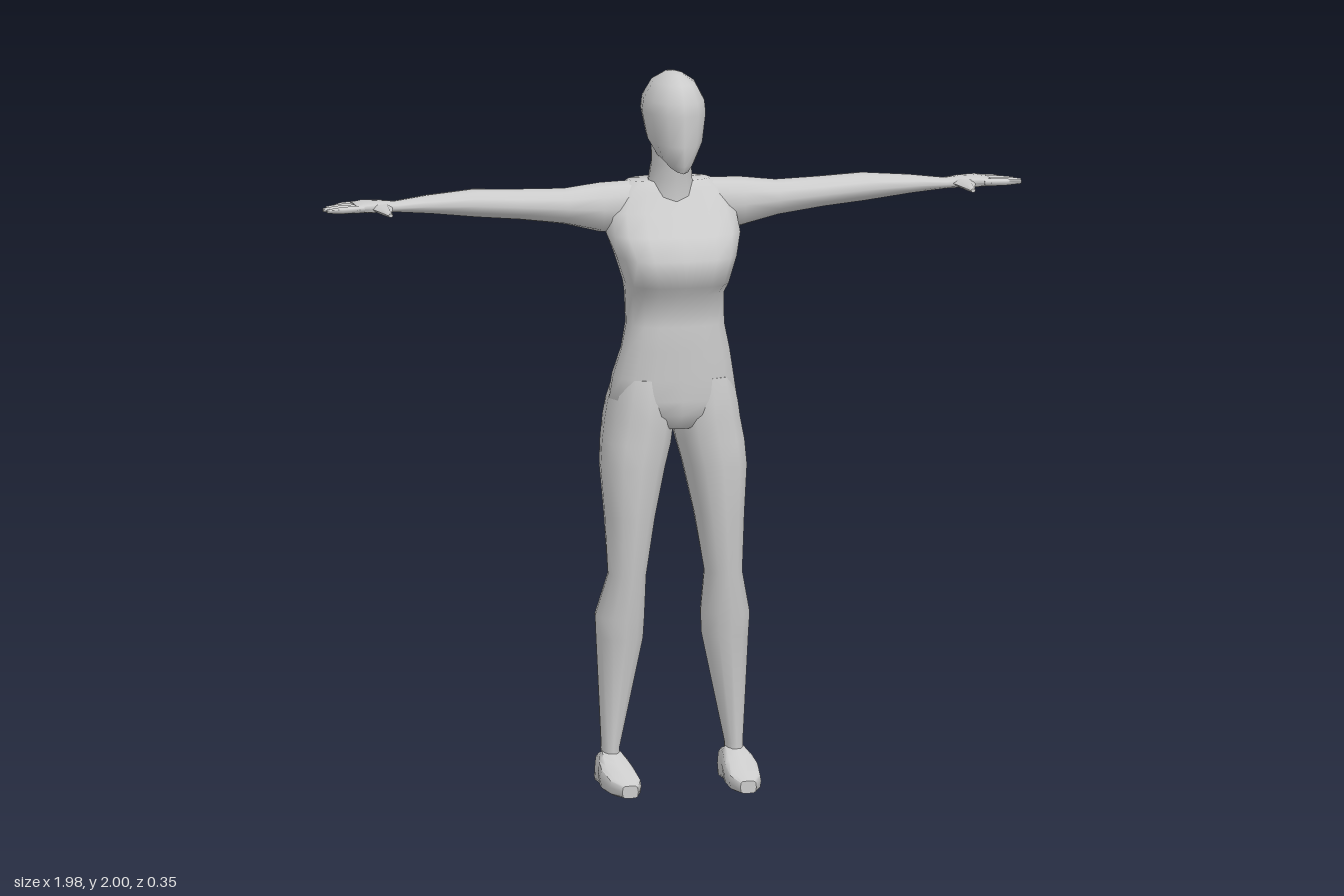
import * as THREE from 'three';
import { toCreasedNormals } from 'three/addons/utils/BufferGeometryUtils.js';

const material = new THREE.MeshStandardMaterial({ color: 0xcccccc });

// Skins rings stacked along an axis. Ring: [t, a0, a1, b0, b1, power = 2, tilt = 0];
// (a, b) are the next two axes in cyclic order, tilt shifts t from the a0 to the a1 side.
function loft(name, axis, rings, { sides = 12, mirror = false, crease = 1.1 } = {}) {
  const pos = [], index = [];
  const put = (t, a, b) => {
    const p = [0, 0, 0];
    p[axis] = t;
    p[(axis + 1) % 3] = a;
    p[(axis + 2) % 3] = b;
    pos.push(mirror ? -p[0] : p[0], p[1], p[2]);
  };
  const tri = (a, b, c) => (mirror ? index.push(a, c, b) : index.push(a, b, c));
  for (const [t, a0, a1, b0, b1, power = 2, tilt = 0] of rings) {
    for (let j = 0; j < sides; j++) {
      const ang = (j / sides) * Math.PI * 2;
      const c = Math.cos(ang), s = Math.sin(ang);
      const u = Math.sign(c) * Math.abs(c) ** (2 / power);
      const v = Math.sign(s) * Math.abs(s) ** (2 / power);
      put(t + tilt * u, (a0 + a1) / 2 + (u * (a1 - a0)) / 2, (b0 + b1) / 2 + (v * (b1 - b0)) / 2);
    }
  }
  const last = (rings.length - 1) * sides;
  for (let i = 0; i < last; i += sides) {
    for (let j = 0; j < sides; j++) {
      const k = (j + 1) % sides;
      tri(i + j, i + k, i + sides + k);
      tri(i + j, i + sides + k, i + sides + j);
    }
  }
  // End caps
  const first = rings[0], end = rings[rings.length - 1];
  for (const r of [first, end]) put(r[0], (r[1] + r[2]) / 2, (r[3] + r[4]) / 2);
  const c0 = last + sides;
  for (let j = 0; j < sides; j++) {
    const k = (j + 1) % sides;
    tri(c0, k, j);
    tri(c0 + 1, last + j, last + k);
  }
  const geo = new THREE.BufferGeometry();
  geo.setAttribute('position', new THREE.Float32BufferAttribute(pos, 3));
  geo.setIndex(index);
  const mesh = new THREE.Mesh(toCreasedNormals(geo, crease), material);
  mesh.name = name;
  return mesh;
}

// Symmetric upright ring: height, half width, back z, front z
const body = (y, w, back, front, power, tilt) => [y, back, front, -w, w, power, tilt];
// Upright limb ring: height, inner x, outer x, back z, front z
const limb = (y, x0, x1, back, front, power) => [y, back, front, x0, x1, power];

function arm(mirror) {
  const g = new THREE.Group();
  g.name = mirror ? 'rightArm' : 'leftArm';
  g.add(loft('armAndPalm', 0, [
    [0.08, 1.54, 1.69, -0.125, 0.0],
    [0.2, 1.55, 1.688, -0.118, 0.012],
    [0.3, 1.575, 1.675, -0.12, 0.005],
    [0.43, 1.592, 1.677, -0.13, 0.0],
    [0.55, 1.603, 1.682, -0.13, -0.004],
    [0.68, 1.62, 1.672, -0.108, -0.012],
    [0.78, 1.63, 1.66, -0.085, -0.02],
    [0.82, 1.633, 1.664, -0.09, -0.008, 2.5],
    [0.87, 1.635, 1.665, -0.096, 0.004, 3],
    [0.9, 1.638, 1.66, -0.094, 0.006, 3],
  ], { mirror }));
  // Four fingers, smallest at the back
  [0.945, 0.975, 0.99, 0.985].forEach((tip, i) => {
    const z = -0.082 + i * 0.026;
    g.add(loft('finger', 0, [
      [0.88, 1.639, 1.66, z - 0.011, z + 0.011],
      [(0.9 + tip) / 2, 1.639, 1.658, z - 0.01, z + 0.01],
      [tip, 1.642, 1.653, z - 0.006, z + 0.006],
    ], { sides: 6, mirror }));
  });
  g.add(loft('thumb', 2, [
    [-0.05, 0.785, 0.87, 1.637, 1.662],
    [0.0, 0.8, 0.855, 1.636, 1.66],
    [0.045, 0.812, 0.842, 1.637, 1.656],
    [0.09, 0.82, 0.833, 1.64, 1.651],
  ], { sides: 6, mirror }));
  return g;
}

function leg(mirror) {
  const g = new THREE.Group();
  g.name = mirror ? 'rightLeg' : 'leftLeg';
  g.add(loft('thighAndCalf', 1, [
    limb(0.05, 0.148, 0.202, -0.075, 0.015),
    limb(0.11, 0.15, 0.2, -0.07, 0.01),
    limb(0.42, 0.083, 0.216, -0.106, 0.052),
    limb(0.48, 0.08, 0.219, -0.11, 0.06),
    limb(0.6, 0.083, 0.19, -0.062, 0.076),
    limb(0.76, 0.058, 0.196, -0.1, 0.09, 2.2),
    limb(0.9, 0.028, 0.205, -0.134, 0.1, 2.3),
    limb(0.97, 0.01, 0.199, -0.15, 0.1, 2.4),
    limb(1.03, 0.0, 0.189, -0.172, 0.1, 2.3),
    limb(1.08, 0.0, 0.182, -0.163, 0.1, 2.2),
    limb(1.15, 0.01, 0.165, -0.13, 0.09),
  ], { mirror }));
  // Foot with a flat sole
  g.add(loft('foot', 2, [
    [-0.105, 0.148, 0.202, 0.0, 0.035, 4],
    [-0.075, 0.14, 0.208, 0.0, 0.09, 3.5],
    [-0.02, 0.138, 0.212, 0.0, 0.105, 3.5],
    [0.015, 0.132, 0.22, 0.0, 0.095, 3.5],
    [0.06, 0.126, 0.225, 0.0, 0.075, 3.5],
    [0.13, 0.125, 0.215, 0.0, 0.05, 4],
    [0.175, 0.145, 0.19, 0.0, 0.035, 4],
  ], { mirror, crease: 0.8 }));
  return g;
}

export function createModel() {
  const model = new THREE.Group();
  model.name = 'figure';

  // Hips, waist, bust and shoulders
  model.add(loft('torso', 1, [
    body(1.01, 0.06, -0.09, 0.075),
    body(1.05, 0.15, -0.12, 0.095, 2.4),
    body(1.09, 0.18, -0.14, 0.1, 2.5),
    body(1.15, 0.17, -0.138, 0.1, 2.5),
    body(1.23, 0.153, -0.086, 0.104, 2.5),
    body(1.3, 0.138, -0.096, 0.104, 2.5),
    body(1.385, 0.138, -0.112, 0.1, 2.6),
    body(1.415, 0.142, -0.116, 0.14, 3),
    body(1.49, 0.166, -0.13, 0.146, 3),
    body(1.55, 0.188, -0.142, 0.1, 2.8),
    body(1.61, 0.185, -0.15, 0.05, 2.6),
    body(1.665, 0.155, -0.146, 0.012, 2.5),
    body(1.69, 0.115, -0.125, -0.005, 2.3),
  ], { sides: 16, crease: 1.2 }));

  model.add(loft('neck', 1, [
    body(1.64, 0.075, -0.14, 0.03),
    body(1.7, 0.06, -0.125, 0.03),
    body(1.74, 0.056, -0.112, 0.04),
    body(1.82, 0.056, -0.105, 0.045),
  ]));

  // Head tapers to the chin; the lower rings tilt up towards the nape
  model.add(loft('head', 1, [
    body(1.752, 0.03, -0.085, 0.11, 2, -0.022),
    body(1.77, 0.05, -0.11, 0.12, 2, -0.02),
    body(1.815, 0.075, -0.13, 0.122, 2, -0.01),
    body(1.89, 0.088, -0.154, 0.122),
    body(1.925, 0.084, -0.146, 0.117),
    body(1.972, 0.058, -0.11, 0.088),
    body(1.994, 0.025, -0.06, 0.04),
    body(2.0, 0.006, -0.02, 0.0),
  ], { crease: 1.3 }));

  for (const mirror of [false, true]) model.add(arm(mirror), leg(mirror));
  return model;
}
